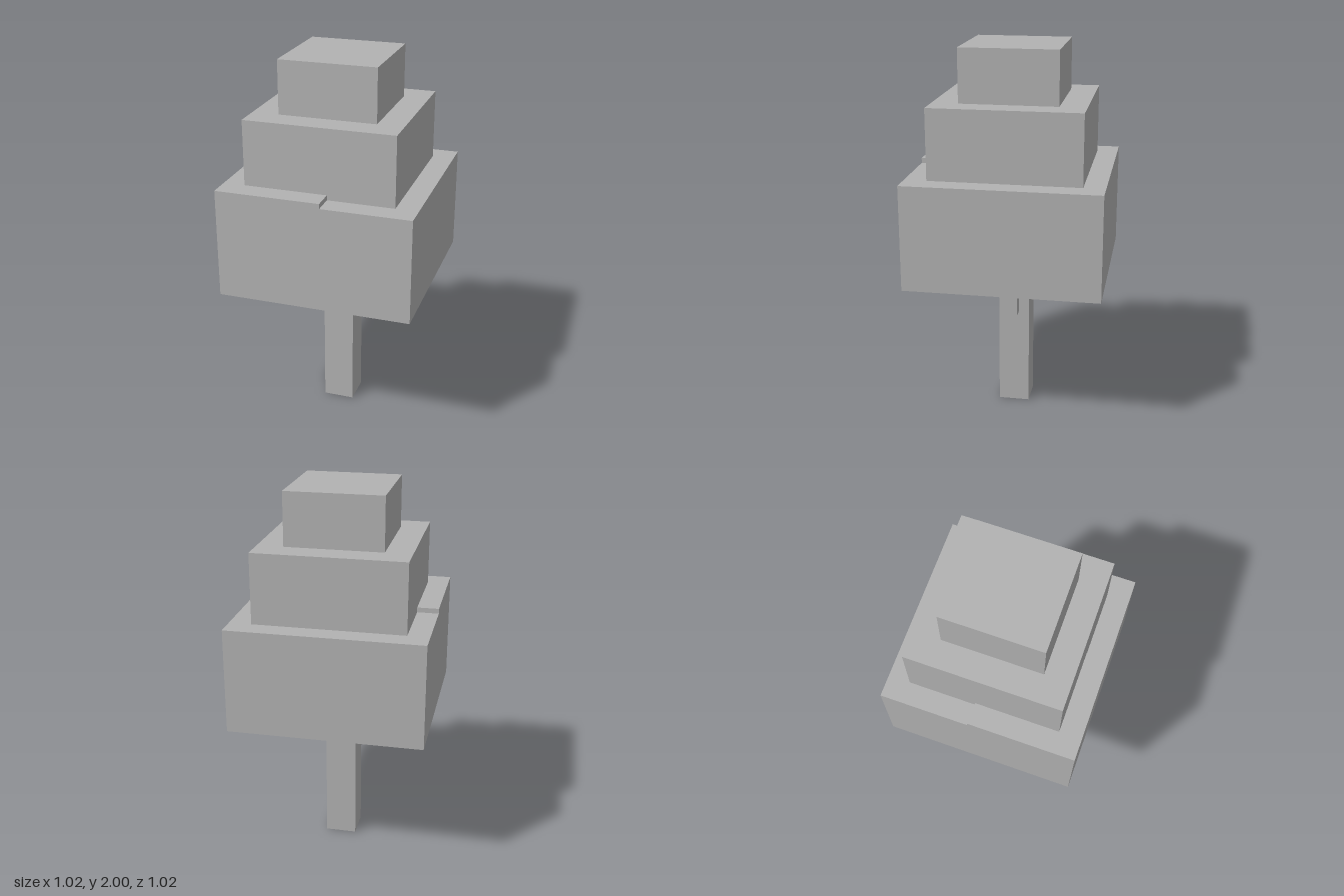
import * as THREE from 'three';

export function createModel() {
  const tree = new THREE.Group();
  tree.name = 'blockTree';

  const grey = new THREE.MeshStandardMaterial({ color: 0xb2b2b2 });
  grey.name = 'plain grey';

  // Adds a box given its [min, max] range along each axis
  function addBlock(name, [x0, x1], [y0, y1], [z0, z1]) {
    const block = new THREE.Mesh(new THREE.BoxGeometry(x1 - x0, y1 - y0, z1 - z0), grey);
    block.position.set((x0 + x1) / 2, (y0 + y1) / 2, (z0 + z1) / 2);
    block.name = name;
    tree.add(block);
  }

  // Trunk and the short stub hanging beside it
  addBlock('trunk', [-0.083, 0.083], [0, 0.795], [-0.083, 0.083]);
  addBlock('hangingStub', [0.127, 0.198], [0.56, 0.795], [-0.035, 0.035]);

  // Three stepped tiers of foliage
  addBlock('lowerFoliage', [-0.51, 0.51], [0.795, 1.35], [-0.51, 0.51]);
  addBlock('middleFoliage', [-0.397, 0.393], [1.35, 1.72], [-0.397, 0.393]);
  addBlock('topFoliage', [-0.257, 0.255], [1.72, 2], [-0.257, 0.255]);

  // Slightly raised corner on the lower tier
  addBlock('raisedCorner', [-0.51, 0.043], [1.35, 1.376], [-0.047, 0.51]);

  return tree;
}
